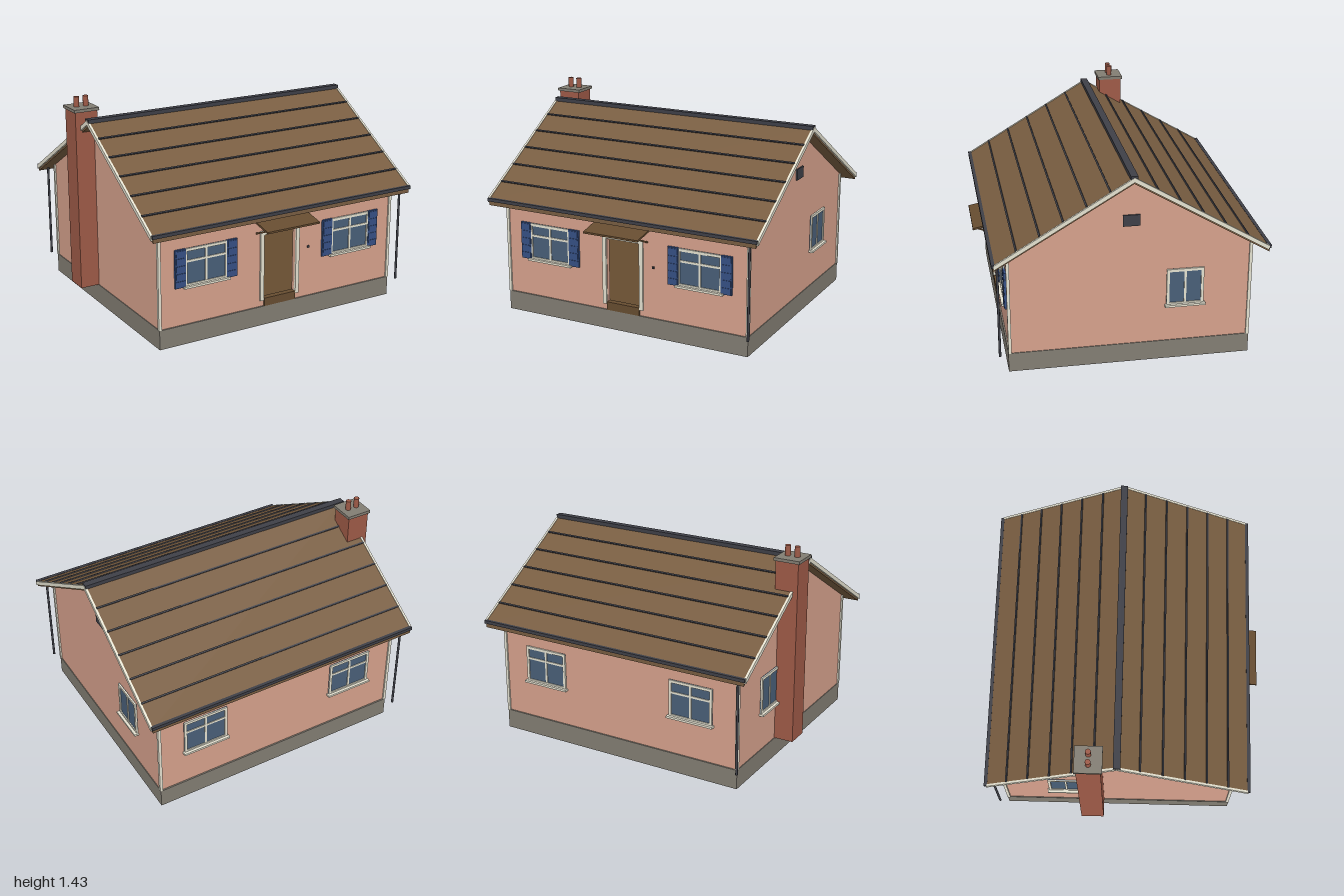
import * as THREE from 'three';

const mat = (name, color) => {
  const m = new THREE.MeshStandardMaterial({ color });
  m.name = name;
  return m;
};

export function createModel() {
  const M = {
    wall: mat('pink render', 0xd6a18c),
    stone: mat('grey stone', 0x827d73),
    roof: mat('brown roof', 0x785d41),
    cream: mat('cream trim', 0xe4e1d0),
    dark: mat('dark metal', 0x3e3f47),
    brick: mat('red brick', 0x9e5a47),
    blue: mat('shutter blue', 0x365084),
    glass: mat('window glass', 0x495f78),
    inside: mat('pale interior', 0xe2bfb6),
    wood: mat('brown wood', 0x664c30),
  };
  const house = new THREE.Group();
  house.name = 'cottage';

  const add = (name, geo, material, parent = house) => {
    const mesh = new THREE.Mesh(geo, material);
    mesh.name = name;
    parent.add(mesh);
    return mesh;
  };
  // Box given by its limits on each axis
  const box = (name, m, [x0, x1], [y0, y1], [z0, z1], parent) => {
    const mesh = add(name, new THREE.BoxGeometry(x1 - x0, y1 - y0, z1 - z0), m, parent);
    mesh.position.set((x0 + x1) / 2, (y0 + y1) / 2, (z0 + z1) / 2);
    return mesh;
  };
  // Extrude a (z, y) outline along x
  const prism = (name, m, points, x0, x1) => {
    const shape = new THREE.Shape(points.map(([z, y]) => new THREE.Vector2(z, y)));
    const geo = new THREE.ExtrudeGeometry(shape, { depth: x1 - x0, bevelEnabled: false });
    geo.rotateY(-Math.PI / 2).translate(x1, 0, 0);
    return add(name, geo, m);
  };

  const CX = 0.02, CZ = -0.03;          // middle of the house
  const X0 = -0.86, X1 = 0.9, Z0 = -0.8, Z1 = 0.74;
  const SLOPE = 0.52 / 0.87, ANGLE = Math.atan(SLOPE);
  const roofY = (d, top = 1.305) => top - d * SLOPE;

  // Plinth and floor
  box('plinth', M.stone, [-0.865, 0.905], [0, 0.13], [-0.81, 0.75]);
  box('floor', M.wood, [X0 + 0.03, X1 - 0.03], [0.13, 0.18], [Z0 + 0.03, Z1 - 0.03]);
  box('doorThreshold', M.wood, [-0.1, 0.14], [0.13, 0.185], [Z1 - 0.03, Z1 + 0.012]);

  // Gable walls, back wall and front wall with open doorway
  const eave = roofY(0.77, 1.265);
  const gable = [[Z0, 0.13], [Z1, 0.13], [Z1, eave], [CZ, 1.265], [Z0, eave]];
  prism('leftGableWall', M.wall, gable, X1 - 0.03, X1);
  prism('rightGableWall', M.wall, gable, X0, X0 + 0.03);
  box('backWall', M.wall, [X0 + 0.03, X1 - 0.03], [0.13, eave], [Z0, Z0 + 0.03]);
  const front = new THREE.Shape([[X0 + 0.03, 0.13], [-0.1, 0.13], [-0.1, 0.62], [0.14, 0.62],
    [0.14, 0.13], [X1 - 0.03, 0.13], [X1 - 0.03, eave], [X0 + 0.03, eave]]
    .map(([x, y]) => new THREE.Vector2(x, y)));
  add('frontWall', new THREE.ExtrudeGeometry(front, { depth: 0.03, bevelEnabled: false }), M.wall)
    .position.z = Z1 - 0.03;

  // Interior lining and a bench
  box('backLining', M.inside, [X0 + 0.03, X1 - 0.03], [0.18, 0.77], [Z0 + 0.03, Z0 + 0.038]);
  for (const x of [X0 + 0.03, X1 - 0.038])
    box('sideLining', M.inside, [x, x + 0.008], [0.18, 0.77], [Z0 + 0.03, Z1 - 0.03]);
  box('ceiling', M.inside, [X0 + 0.03, X1 - 0.03], [0.77, 0.778], [Z0 + 0.03, Z1 - 0.03]);
  box('benchSeat', M.wood, [0.125, 0.5], [0.21, 0.3], [-0.6, -0.4]);
  box('benchBack', M.wood, [0.132, 0.5], [0.3, 0.38], [-0.6, -0.56]);

  // Corner boards
  for (const x of [X0, X1]) for (const z of [Z0, Z1])
    box('cornerBoard', M.cream, [x - 0.01, x + 0.01], [0.13, 0.8], [z - 0.01, z + 0.01]);

  // Roof, verge boards, ridge
  const chevron = (half, top, t) => [
    [CZ + half, roofY(half, top)], [CZ, top], [CZ - half, roofY(half, top)],
    [CZ - half, roofY(half, top - t)], [CZ, top - t], [CZ + half, roofY(half, top - t)]];
  prism('roof', M.roof, chevron(0.865, 1.303, 0.04), -0.945, 0.985);
  for (const x of [-0.958, 0.983])
    prism('vergeBoard', M.cream, chevron(0.86, 1.307, 0.03), x, x + 0.015);
  box('ridge', M.dark, [-0.955, 0.995], [1.285, 1.315], [CZ - 0.023, CZ + 0.023]);

  // Roof course strips and gutters on both slopes
  for (const s of [-1, 1]) {
    for (let i = 1; i <= 5; i++) {
      const d = i * 0.144;
      const strip = add('roofCourse', new THREE.BoxGeometry(1.93, 0.012, 0.011), M.dark);
      strip.position.set(CX, roofY(d), CZ + s * d);
      strip.rotation.x = s * ANGLE;
    }
    const gutter = add('gutter', new THREE.BoxGeometry(1.945, 0.022, 0.022), M.dark);
    gutter.position.set(CX, 0.785, CZ + s * 0.863);
  }

  // Downpipes at opposite corners
  for (const [x, z] of [[0.93, 0.805], [-0.89, -0.862]])
    add('downpipe', new THREE.CylinderGeometry(0.008, 0.008, 0.65, 10), M.dark)
      .position.set(x, 0.455, z);

  // Chimney
  box('chimneyStack', M.brick, [-0.99, -0.835], [0.13, 1.34], [-0.283, -0.127]);
  box('chimneyCap', M.stone, [-1, -0.825], [1.34, 1.36], [-0.293, -0.117]);
  for (const x of [-0.945, -0.88])
    add('chimneyPot', new THREE.CylinderGeometry(0.018, 0.018, 0.068, 12), M.brick)
      .position.set(x, 1.393, -0.205);

  // Window facing +z in its own frame, then placed on a wall
  const makeWindow = (name, w, x, z, turn, { transom = true, shutters = false } = {}) => {
    const g = new THREE.Group();
    g.name = name;
    const h = w / 2, y0 = 0.39, y1 = 0.635, f = 0.018;
    box('glass', M.glass, [-h, h], [y0, y1], [0, 0.005], g);
    for (const s of [-1, 1]) {
      const c = s * (h - f / 2);
      box('frameSide', M.cream, [c - f / 2, c + f / 2], [y0, y1], [0, 0.012], g);
    }
    box('frameTop', M.cream, [-h, h], [y1 - f, y1], [0, 0.012], g);
    box('frameBottom', M.cream, [-h, h], [y0, y0 + 0.012], [0, 0.012], g);
    box('mullion', M.cream, [-0.007, 0.007], [y0, y1], [0, 0.01], g);
    if (transom) box('transom', M.cream, [-h, h], [0.544, 0.558], [0, 0.01], g);
    box('sill', M.cream, [-h - 0.01, h + 0.01], [0.377, 0.391], [0, 0.03], g);
    if (shutters) for (const s of [-1, 1]) {
      const c = s * 0.185;
      box('shutter', M.blue, [c - 0.038, c + 0.038], [0.385, 0.637], [0, 0.014], g);
      for (let i = 0; i < 5; i++)
        box('shutterSlat', M.blue, [c - 0.032, c + 0.032],
          [0.392 + i * 0.05, 0.43 + i * 0.05], [0.014, 0.018], g);
    }
    g.position.set(x, 0, z);
    g.rotation.y = turn;
    house.add(g);
  };
  for (const x of [-0.53, 0.57]) {
    makeWindow('frontWindow', 0.31, x, Z1, 0, { shutters: true });
    makeWindow('backWindow', 0.31, x, Z0, Math.PI);
  }
  makeWindow('leftWindow', 0.24, X1, -0.38, Math.PI / 2, { transom: false });
  makeWindow('rightWindow', 0.24, X0, -0.38, -Math.PI / 2, { transom: false });

  // Gable vent
  box('gableVent', M.dark, [X1, X1 + 0.01], [0.953, 1.027], [-0.085, 0.023]);

  // Door frame
  for (const x of [-0.13, 0.14])
    box('doorJamb', M.cream, [x, x + 0.027], [0.17, 0.645], [Z1 - 0.03, Z1 + 0.012]);
  box('doorHead', M.cream, [-0.13, 0.167], [0.62, 0.645], [Z1 - 0.03, Z1 + 0.012]);
  box('doorBell', M.dark, [0.233, 0.247], [0.467, 0.481], [Z1, Z1 + 0.01]);

  // Door canopy with braces
  prism('canopy', M.wood, [[0.74, 0.716], [0.9, 0.684], [0.9, 0.696], [0.74, 0.73]], -0.177, 0.217);
  for (const x of [-0.16, 0.192])
    prism('canopyBrace', M.wood, [[0.74, 0.63], [0.87, 0.685], [0.87, 0.695], [0.74, 0.642]], x, x + 0.01);

  return house;
}
